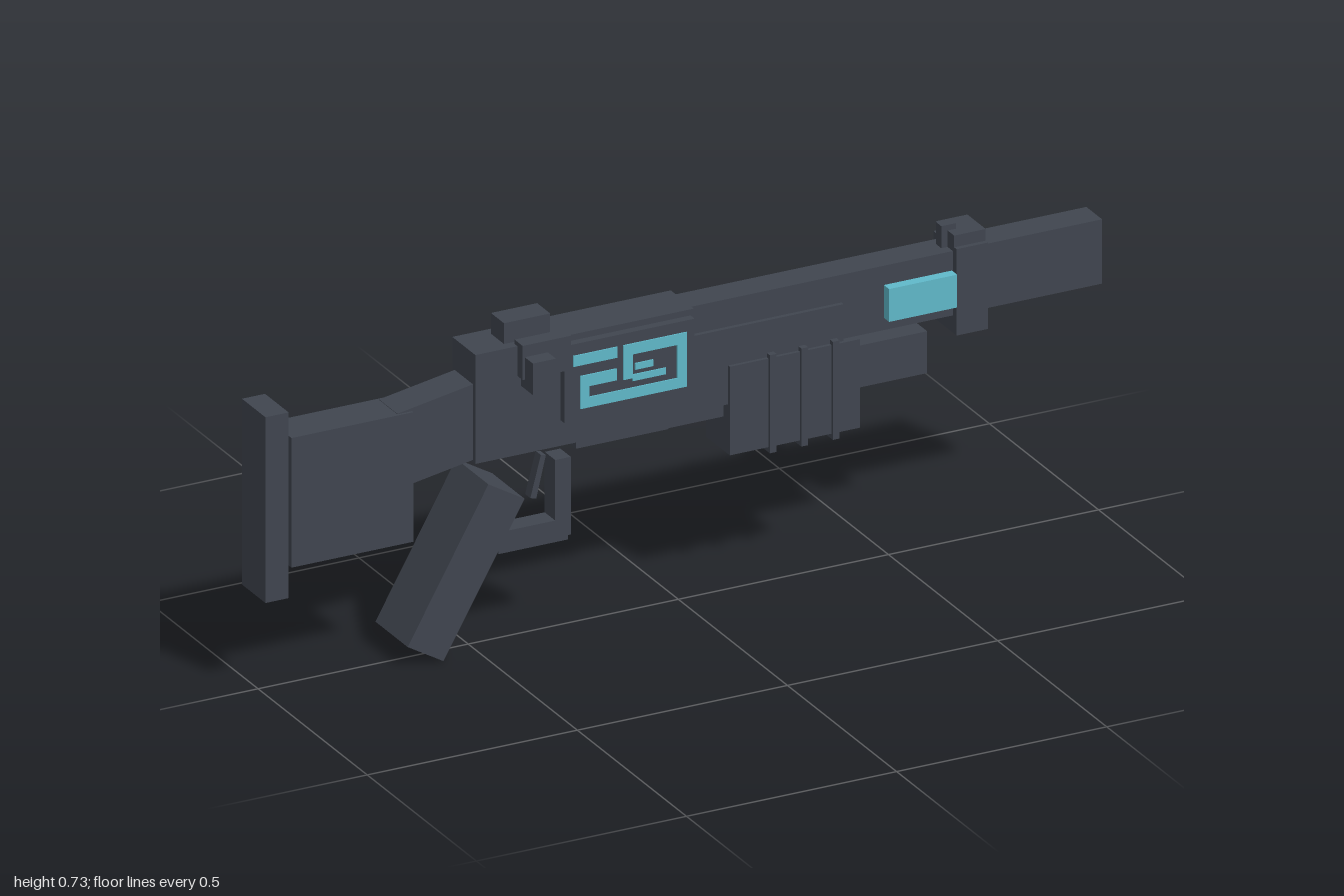
import * as THREE from 'three';

const MID = -0.02; // depth of the centre line

export function createModel() {
  const model = new THREE.Group();
  model.name = 'blaster';
  const gunmetal = new THREE.MeshStandardMaterial({ color: 0x40454f });
  gunmetal.name = 'gunmetal';
  const glow = new THREE.MeshStandardMaterial({ color: 0x60b9ca });
  glow.name = 'cyan glow';

  const add = (name, geometry, material = gunmetal, parent = model) => {
    const mesh = new THREE.Mesh(geometry, material);
    mesh.name = name;
    parent.add(mesh);
    return mesh;
  };
  // Box given by its limits
  const box = (name, x0, x1, y0, y1, z0, z1, material, parent) => {
    const mesh = add(name, new THREE.BoxGeometry(x1 - x0, y1 - y0, z1 - z0), material, parent);
    mesh.position.set((x0 + x1) / 2, (y0 + y1) / 2, (z0 + z1) / 2);
    return mesh;
  };
  // Box centred on the centre line, with half depth h
  const mid = (name, x0, x1, y0, y1, h, material) =>
    box(name, x0, x1, y0, y1, MID - h, MID + h, material);
  // Side outline extruded to half depth h
  const slab = (name, points, h) => {
    const shape = new THREE.Shape(points.map(([x, y]) => new THREE.Vector2(x, y)));
    const geometry = new THREE.ExtrudeGeometry(shape, { depth: 2 * h, bevelEnabled: false });
    add(name, geometry.translate(0, 0, MID - h));
  };

  // Barrel, receiver and handguard
  mid('barrel', 0, 1, 0.535, 0.684, 0.036);
  mid('receiver', -0.5, 0.02, 0.435, 0.687, 0.053);
  mid('handguardPanel', 0.02, 0.38, 0.445, 0.62, 0.046);
  mid('magazineTube', -0.03, 0.59, 0.408, 0.505, 0.024);
  mid('loadingPort', -0.25, -0.03, 0.41, 0.437, 0.032);

  // Sliding grip with ribs
  mid('slideGrip', 0.105, 0.415, 0.33, 0.535, 0.054);
  for (const x of [0.205, 0.28, 0.355]) {
    mid('slideRib', x - 0.008, x + 0.008, 0.318, 0.545, 0.06);
  }

  // Barrel clamp and sights
  mid('barrelClamp', 0.645, 0.72, 0.495, 0.695, 0.053);
  mid('clampTop', 0.645, 0.72, 0.695, 0.722, 0.042);
  mid('frontSight', 0.63, 0.665, 0.684, 0.735, 0.012);
  mid('rearSight', -0.42, -0.31, 0.685, 0.735, 0.03);

  // Bolt on the front side
  box('boltPlate', -0.4, -0.285, 0.618, 0.697, 0.02, 0.057);
  box('boltKnob', -0.395, -0.34, 0.597, 0.67, 0.04, 0.094);

  // Stock and butt pad
  slab('stockNeck', [[-0.5, 0.44], [-0.5, 0.615], [-0.68, 0.584], [-0.68, 0.41], [-0.645, 0.415]], 0.042);
  mid('stock', -0.935, -0.645, 0.283, 0.583, 0.048);
  mid('buttPad', -1, -0.945, 0.217, 0.647, 0.054);

  // Grip, trigger and guard
  slab('pistolGrip', [[-0.48, 0.392], [-0.672, 0.055], [-0.587, 0.005], [-0.394, 0.341]], 0.074);
  slab('trigger', [[-0.348, 0.308], [-0.334, 0.304], [-0.311, 0.4], [-0.323, 0.403]], 0.012);
  slab('triggerGuard', [[-0.43, 0.2], [-0.265, 0.2], [-0.265, 0.21], [-0.258, 0.21],
    [-0.258, 0.39], [-0.295, 0.39], [-0.295, 0.25], [-0.43, 0.25]], 0.024);

  // Circuit strips on a side panel: x0, x1, y0, y1 from the panel centre
  const strips = [
    [-0.135, -0.03, 0.037, 0.062], [-0.016, 0.135, 0.037, 0.062],
    [0.112, 0.135, -0.064, 0.037], [-0.118, 0.112, -0.064, -0.04],
    [-0.118, -0.097, -0.04, 0.012], [-0.097, -0.032, -0.015, 0.012],
    [-0.016, 0.006, -0.018, 0.037], [0.006, 0.085, -0.025, -0.01],
    [0.012, 0.055, 0.0, 0.015],
  ];
  for (const side of [1, -1]) {
    const panel = new THREE.Group();
    panel.name = side > 0 ? 'frontSidePanel' : 'backSidePanel';
    panel.position.set(-0.143, 0.585, MID);
    if (side < 0) panel.rotation.y = Math.PI;
    model.add(panel);
    box('panelPlate', -0.155, 0.155, -0.09, 0.088, 0.045, 0.072, gunmetal, panel);
    for (const [x0, x1, y0, y1] of strips) {
      box('circuitStrip', x0, x1, y0, y1, 0.07, 0.075, glow, panel);
    }
    // Glowing lamp beside the barrel
    const z = MID + side * 0.059;
    box('barrelLamp', 0.475, 0.637, 0.569, 0.645, z - 0.012, z + 0.012, glow);
  }
  return model;
}
